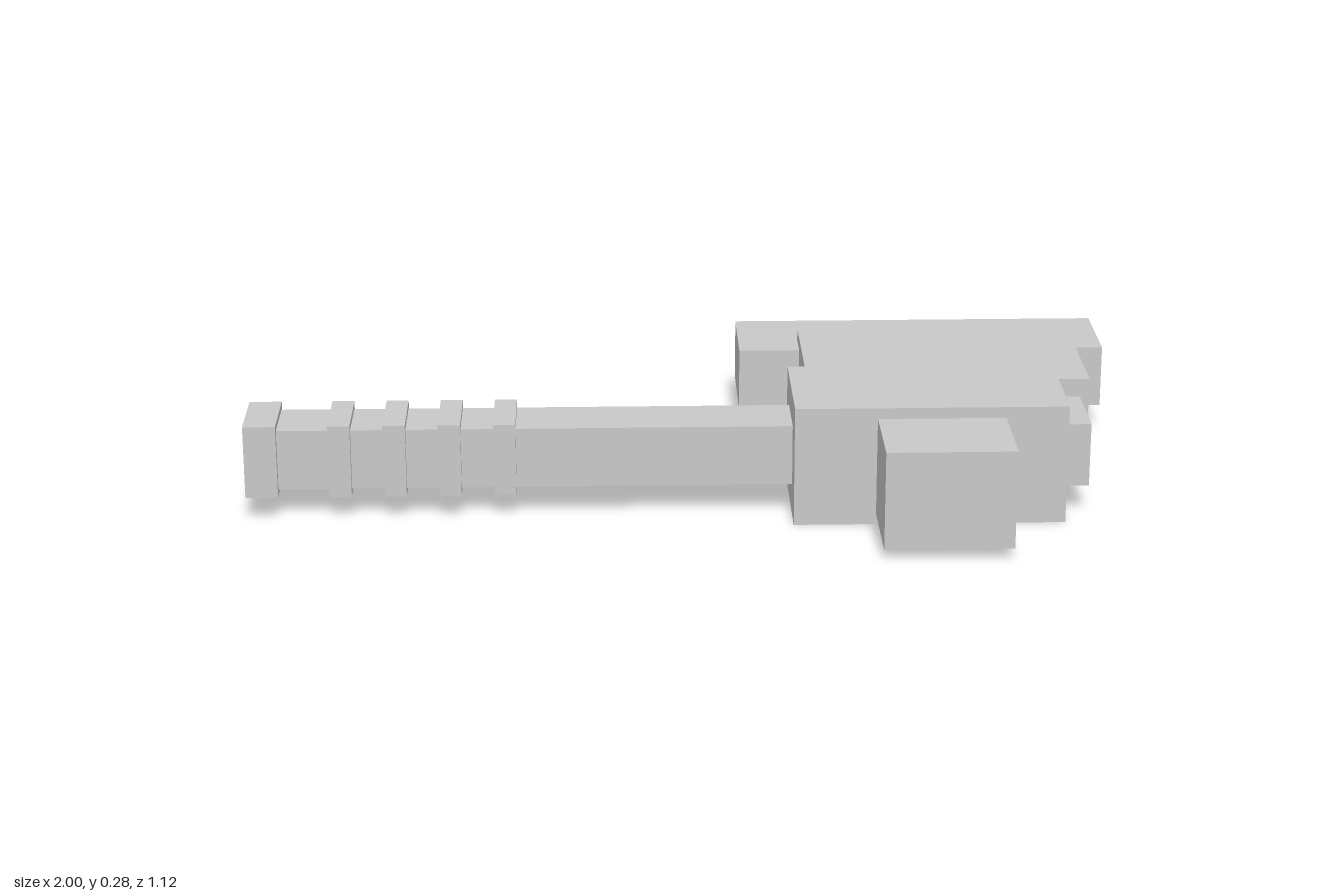
import * as THREE from 'three';

export function createModel() {
  const model = new THREE.Group();
  model.name = 'warHammer';
  const grey = new THREE.MeshStandardMaterial({ color: 0xc8c8c8 });
  grey.name = 'light grey';

  // Box given by its extents along each axis
  function block(name, [x0, x1], [y0, y1], [z0, z1]) {
    const mesh = new THREE.Mesh(new THREE.BoxGeometry(x1 - x0, y1 - y0, z1 - z0), grey);
    mesh.name = name;
    mesh.position.set((x0 + x1) / 2, (y0 + y1) / 2, (z0 + z1) / 2);
    model.add(mesh);
  }

  // Handle with pommel and grip rings
  const ringY = [0.055, 0.223], ringZ = [0.115, 0.285];
  block('handle', [-0.96, 0.25], [0.069, 0.208], [0.128, 0.27]);
  block('pommel', [-1, -0.927], ringY, ringZ);
  for (let i = 0; i < 4; i++) {
    const x = -0.787 + i * 0.123;
    block('gripRing' + (i + 1), [x - 0.025, x + 0.025], ringY, ringZ);
  }

  // Head core, top cap and striking face
  block('headCore', [0.227, 0.837], [0, 0.275], [0.053, 0.345]);
  block('headCap', [0.82, 0.896], [0.065, 0.212], [0.1, 0.287]);
  block('strikingFace', [0.411, 0.697], [0.025, 0.25], [0.33, 0.56]);

  // Stepped blade side
  block('bladeBody', [0.273, 0.923], [0.035, 0.241], [-0.326, 0.062]);
  block('bladeFlare', [0.13, 1], [0.066, 0.212], [-0.477, -0.25]);
  block('bladeEdge', [0.17, 0.96], [0.107, 0.171], [-0.56, -0.46]);

  return model;
}
